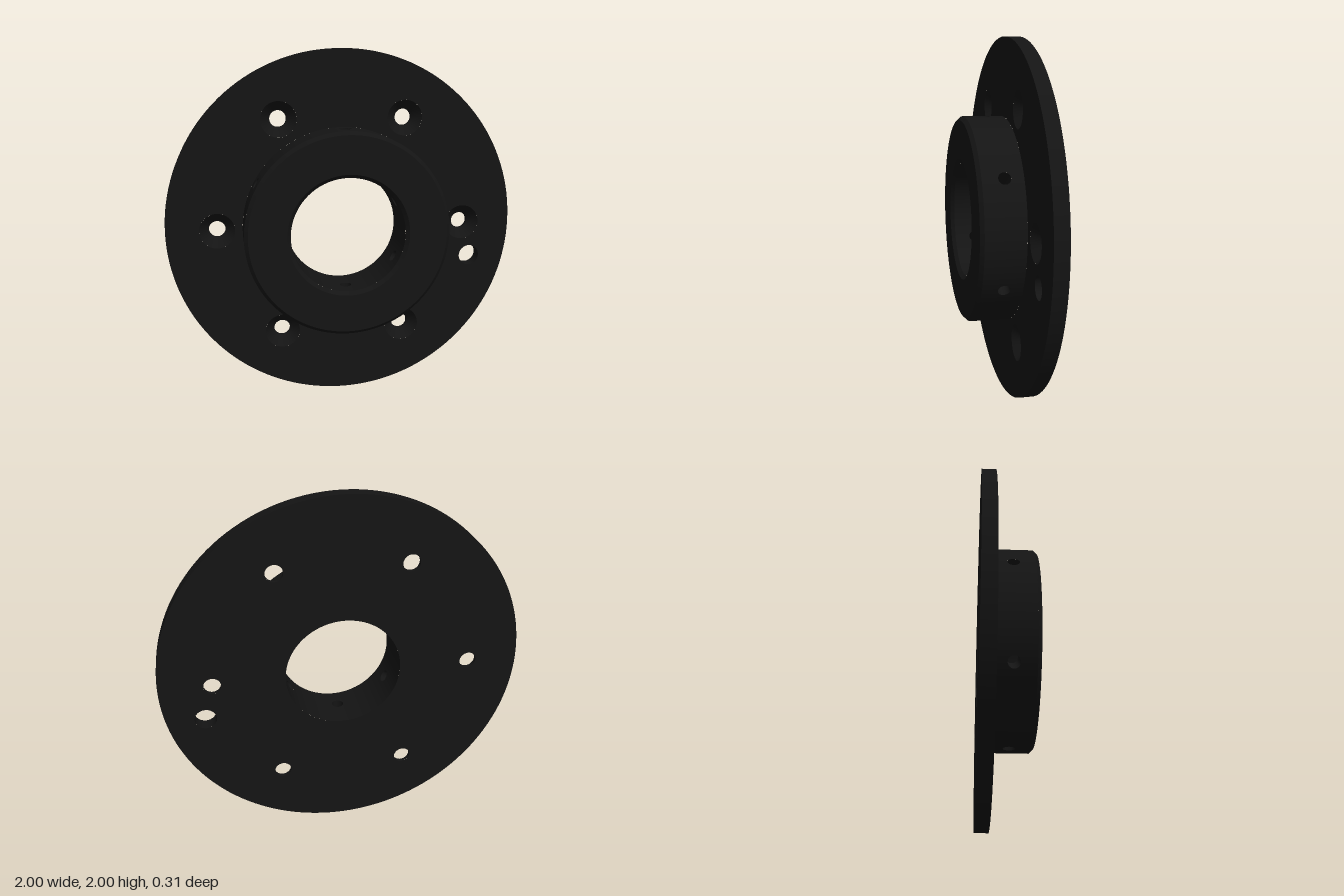
import * as THREE from 'three';
import { mergeGeometries } from 'three/addons/utils/BufferGeometryUtils.js';
import { ParametricGeometry } from 'three/addons/geometries/ParametricGeometry.js';

const BACK = -0.157, FLANGE = -0.08, FRONT = 0.157; // z levels
const RIM = 1, HUB = 0.572, BORE = 0.32, CHAMFER = 0.02;
const SEGMENTS = 144;
const BOLT_CIRCLE = 0.714, BOLT = 0.047, SINK = 0.1, SINK_DEPTH = 0.055;
const PIN = { x: 0.766, y: -0.205, r: 0.06 };
const SCREW = { r: 0.033, z: 0.02 };

// Sharp-edged surface of revolution around z; each [radius, z] span is its own band
function revolve(points, x = 0, y = 0, segments = SEGMENTS) {
  const bands = [];
  for (let i = 1; i < points.length; i++) {
    const span = [points[i - 1], points[i]].map(([r, z]) => new THREE.Vector2(r, z));
    bands.push(new THREE.LatheGeometry(span, segments).rotateX(Math.PI / 2));
  }
  return mergeGeometries(bands).translate(x, y, 0);
}

function circle(Type, x, y, r) {
  return new Type().absarc(x, y, r, 0, Math.PI * 2, false);
}

// Flat disc with a central opening, bolt holes and the pin hole
function plate(centre, bolt, bolts) {
  const shape = circle(THREE.Shape, 0, 0, RIM);
  shape.holes.push(circle(THREE.Path, 0, 0, centre), circle(THREE.Path, PIN.x, PIN.y, PIN.r));
  for (const [x, y] of bolts) shape.holes.push(circle(THREE.Path, x, y, bolt));
  return new THREE.ShapeGeometry(shape, SEGMENTS / 2);
}

// Point on the edge of a radial screw hole where it meets a cylinder of radius r
function screwEdge(a, r) {
  return [Math.asin(SCREW.r * Math.cos(a) / r), SCREW.z + SCREW.r * Math.sin(a)];
}

function setPolar(target, r, angle, z) {
  target.set(r * Math.cos(angle), r * Math.sin(angle), z);
}

// 60 degree piece of a cylinder wall, pierced by a screw hole
function piercedWall(r, z0, z1, middle, outward) {
  return new ParametricGeometry((u, v, target) => {
    const a = (outward ? 1 - u : u) * Math.PI * 2;
    const [holeAngle, holeZ] = screwEdge(a, r);
    const c = Math.cos(a), s = Math.sin(a), k = Math.max(Math.abs(c), Math.abs(s));
    const edgeAngle = c / k * Math.PI / 6;
    const edgeZ = (z0 + z1) / 2 + s / k * (z1 - z0) / 2;
    setPolar(target, r, middle + holeAngle + (edgeAngle - holeAngle) * v, holeZ + (edgeZ - holeZ) * v);
  }, 64, 10);
}

// Lining of a screw hole between the bore and the outside of the hub
function screwLining(middle) {
  return new ParametricGeometry((u, v, target) => {
    const r = BORE + (HUB - BORE) * v;
    const [angle, z] = screwEdge((1 - u) * Math.PI * 2, r);
    setPolar(target, r, middle + angle, z);
  }, 32, 2);
}

export function createModel() {
  const model = new THREE.Group();
  const material = new THREE.MeshStandardMaterial({ color: 0x141414 });
  const add = (name, geometry) => {
    const mesh = new THREE.Mesh(geometry, material);
    mesh.name = name;
    mesh.position.y = 1;
    model.add(mesh);
  };

  const bolts = [], screws = [];
  for (let i = 0; i < 6; i++) {
    const a = i * Math.PI / 3;
    bolts.push([BOLT_CIRCLE * Math.cos(a), BOLT_CIRCLE * Math.sin(a)]);
    screws.push(a + Math.PI / 6);
  }

  // Flange: front face, back face and rim
  add('flange', mergeGeometries([
    plate(HUB, SINK, bolts).translate(0, 0, FLANGE),
    plate(BORE, BOLT, bolts.map(([x, y]) => [-x, y])).scale(1, 1, 1).translate(0, 0, 0),
  ].map((g, i) => i === 0 ? g : flipToBack(g)).concat(revolve([[RIM, BACK], [RIM, FLANGE]]))));

  // Countersunk bolt holes and the plain pin hole
  add('boltHoles', mergeGeometries(bolts.map(([x, y]) =>
    revolve([[SINK, FLANGE], [BOLT, FLANGE - SINK_DEPTH], [BOLT, BACK]], x, y, 48))));
  add('pinHole', revolve([[PIN.r, FLANGE], [PIN.r, BACK]], PIN.x, PIN.y, 48));

  // Hub: pierced outer wall, chamfers and front face
  add('hubWall', mergeGeometries(screws.map(a => piercedWall(HUB, FLANGE, FRONT - CHAMFER, a, true))));
  add('hubFace', revolve([
    [HUB, FRONT - CHAMFER], [HUB - CHAMFER, FRONT],
    [BORE + CHAMFER, FRONT], [BORE, FRONT - CHAMFER],
  ]));

  // Bore and radial set screw holes
  add('bore', mergeGeometries(screws.map(a => piercedWall(BORE, BACK, FRONT - CHAMFER, a, false))));
  add('screwHoles', mergeGeometries(screws.map(screwLining)));
  return model;
}

// Turns a front-facing plate into the back face, keeping its hole positions
function flipToBack(geometry) {
  const index = geometry.index.array;
  for (let i = 0; i < index.length; i += 3) [index[i], index[i + 1]] = [index[i + 1], index[i]];
  const normal = geometry.attributes.normal;
  for (let i = 0; i < normal.count; i++) normal.setZ(i, -1);
  return geometry.translate(0, 0, BACK);
}
